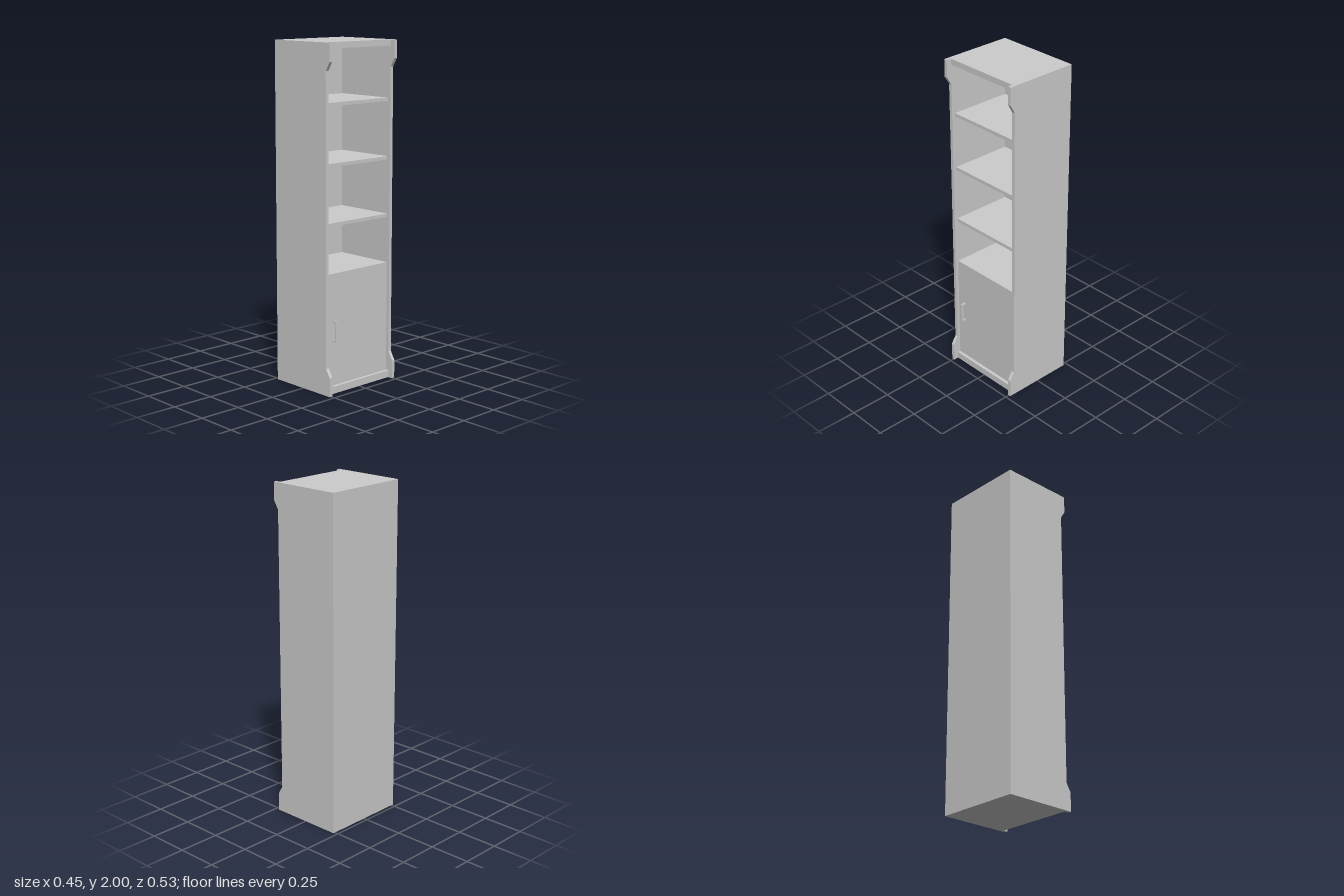
import * as THREE from 'three';

const MAT = new THREE.MeshStandardMaterial({ color: 0xcccccc, flatShading: true });
const BACK = -0.227, FRONT = 0.195, INNER = 0.243, THICK = 0.02;

// Box given by its minimum and maximum corners
function board(parent, name, [x0, y0, z0], [x1, y1, z1]) {
  const mesh = new THREE.Mesh(new THREE.BoxGeometry(x1 - x0, y1 - y0, z1 - z0), MAT);
  mesh.position.set((x0 + x1) / 2, (y0 + y1) / 2, (z0 + z1) / 2);
  mesh.name = name;
  parent.add(mesh);
  return mesh;
}

export function createModel() {
  const cabinet = new THREE.Group();
  cabinet.name = 'cabinet';

  // Side panels with projecting, chamfered head and foot on the open side
  const outline = new THREE.Shape([
    [BACK, 0], [0.225, 0], [0.225, 0.11], [FRONT, 0.16],
    [FRONT, 1.845], [0.225, 1.895], [0.225, 2], [BACK, 2],
  ].map(([x, y]) => new THREE.Vector2(x, y)));
  const panel = new THREE.ExtrudeGeometry(outline, { depth: THICK, bevelEnabled: false });
  for (const [name, z] of [['nearSidePanel', INNER], ['farSidePanel', -INNER - THICK]]) {
    const mesh = new THREE.Mesh(panel, MAT);
    mesh.name = name;
    mesh.position.z = z;
    cabinet.add(mesh);
  }

  // Top, base and back
  board(cabinet, 'topBoard', [BACK, 1.965, -INNER], [FRONT, 2, INNER]);
  board(cabinet, 'baseBoard', [BACK, 0, -INNER], [FRONT, 0.042, INNER]);
  board(cabinet, 'backPanel', [BACK, 0.042, -INNER], [BACK + THICK, 1.965, INNER]);

  // Open shelves, slightly set back
  for (const top of [1.668, 1.329, 0.991]) {
    board(cabinet, 'shelf', [BACK + THICK, top - THICK, -INNER], [0.175, top, INNER]);
  }

  // Lower compartment: cover shelf and door
  board(cabinet, 'compartmentTop', [BACK + THICK, 0.68, -INNER], [0.155, 0.7, INNER]);
  board(cabinet, 'door', [0.155, 0.042, -INNER], [0.175, 0.7, INNER]);

  // Door handle: a bar on two posts
  const handle = new THREE.Group();
  handle.name = 'doorHandle';
  board(handle, 'handleBar', [0.195, 0.3, 0.184], [0.205, 0.425, 0.194]);
  for (const y of [0.3, 0.415]) {
    board(handle, 'handlePost', [0.175, y, 0.184], [0.195, y + 0.01, 0.194]);
  }
  cabinet.add(handle);

  return cabinet;
}
